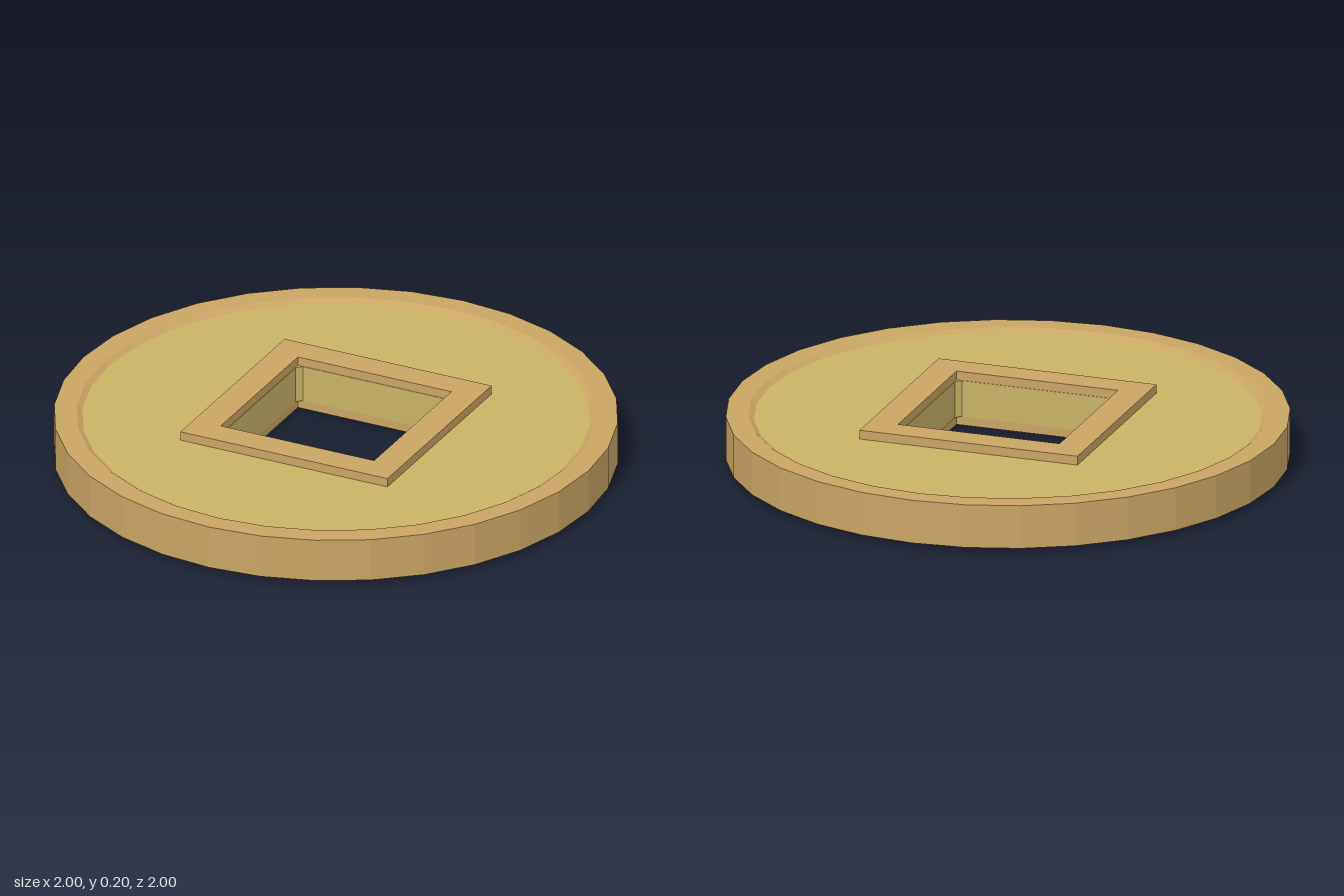
import * as THREE from 'three';

const SIDES = 32;

// Flat-shaded mesh with a plain colour
function part(name, geometry, color) {
  const mesh = new THREE.Mesh(geometry, new THREE.MeshStandardMaterial({ color, flatShading: true }));
  mesh.name = name;
  return mesh;
}

// Closed outline from [x, y] points
const outline = (points, Type = THREE.Shape) => new Type(points.map(([x, y]) => new THREE.Vector2(x, y)));

const square = (h) => [[-h, -h], [h, -h], [h, h], [-h, h]];

// Square with small cut corners
const cutSquare = (h, c) => [
  [-h + c, -h], [h - c, -h], [h, -h + c], [h, h - c],
  [h - c, h], [-h + c, h], [-h, h - c], [-h, -h + c],
];

// Horizontal slab with a hole, between heights y0 and y1
function slab(points, hole, y0, y1) {
  const shape = outline(points);
  shape.holes.push(outline(hole, THREE.Path));
  return new THREE.ExtrudeGeometry(shape, { depth: y1 - y0, bevelEnabled: false })
    .rotateX(-Math.PI / 2)
    .translate(0, y0, 0);
}

export function createModel() {
  const coin = new THREE.Group();
  coin.name = 'coin';
  const rimColor = 0xc9a563, plateColor = 0xc8b464;
  const low = 0.033, high = 0.167;

  // Raised rim, its inner walls sloping in to the plate on both faces
  const profile = [[0.9, low], [0.92, 0.02], [1, 0.02], [1, 0.18], [0.92, 0.18], [0.9, high]];
  const rim = new THREE.LatheGeometry(profile.map(([r, y]) => new THREE.Vector2(r, y)), SIDES);
  coin.add(part('rim', rim, rimColor));

  // Recessed plate with a square hole
  const disc = Array.from({ length: SIDES }, (_, i) => {
    const a = (i / SIDES) * Math.PI * 2;
    return [0.9 * Math.cos(a), 0.9 * Math.sin(a)];
  });
  coin.add(part('plate', slab(disc, cutSquare(0.302, 0.02), low, high), plateColor));

  // Square frames standing proud around the hole, top and bottom
  coin.add(part('topFrame', slab(square(0.41), square(0.304), high, 0.2), rimColor));
  coin.add(part('bottomFrame', slab(square(0.41), square(0.304), 0, low), rimColor));

  return coin;
}
